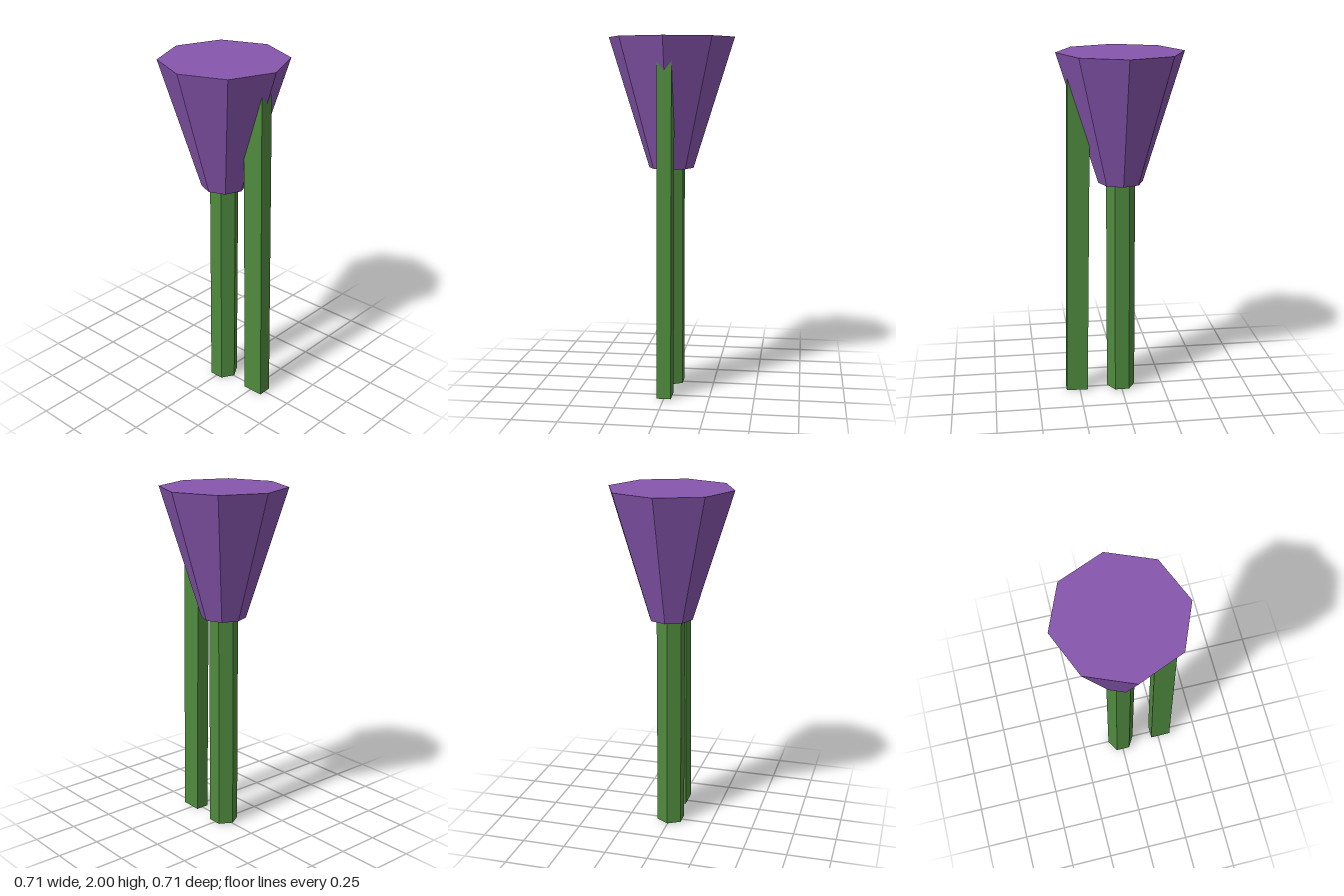
import * as THREE from 'three';

export function createModel() {
  const group = new THREE.Group();
  const make = (name, color) => {
    const m = new THREE.MeshStandardMaterial({ color, flatShading: true });
    m.name = name;
    return m;
  };
  const purple = make('petal purple', 0x8756ae);
  const green = make('stem green', 0x4f8a3e);

  const add = (name, geometry, material) => {
    const mesh = new THREE.Mesh(geometry, material);
    mesh.name = name;
    group.add(mesh);
    return mesh;
  };

  // Eight-sided flaring bloom, corners on the axes
  const bloomBase = 1.265;
  const bloom = add('bloom', new THREE.CylinderGeometry(0.357, 0.127, 2 - bloomBase, 8), purple);
  bloom.position.y = (2 + bloomBase) / 2;

  // Six-sided stem with a flat side to the front
  const stemTop = 1.3, stemFoot = 0.004;
  const stem = add('stem', new THREE.CylinderGeometry(0.083, 0.083, stemTop - stemFoot, 6), green);
  stem.position.y = (stemTop + stemFoot) / 2;
  stem.rotation.y = Math.PI / 6;

  // Slightly leaning leaf whose top ends inside the bloom
  const leafHeight = 1.9;
  const leafGeometry = new THREE.BoxGeometry(0.125, leafHeight, 0.08).translate(0, leafHeight / 2, 0);
  const leaf = add('leaf', leafGeometry, green);
  leaf.position.set(0.266, 0.001, 0);
  leaf.rotation.z = 0.0165;

  return group;
}
